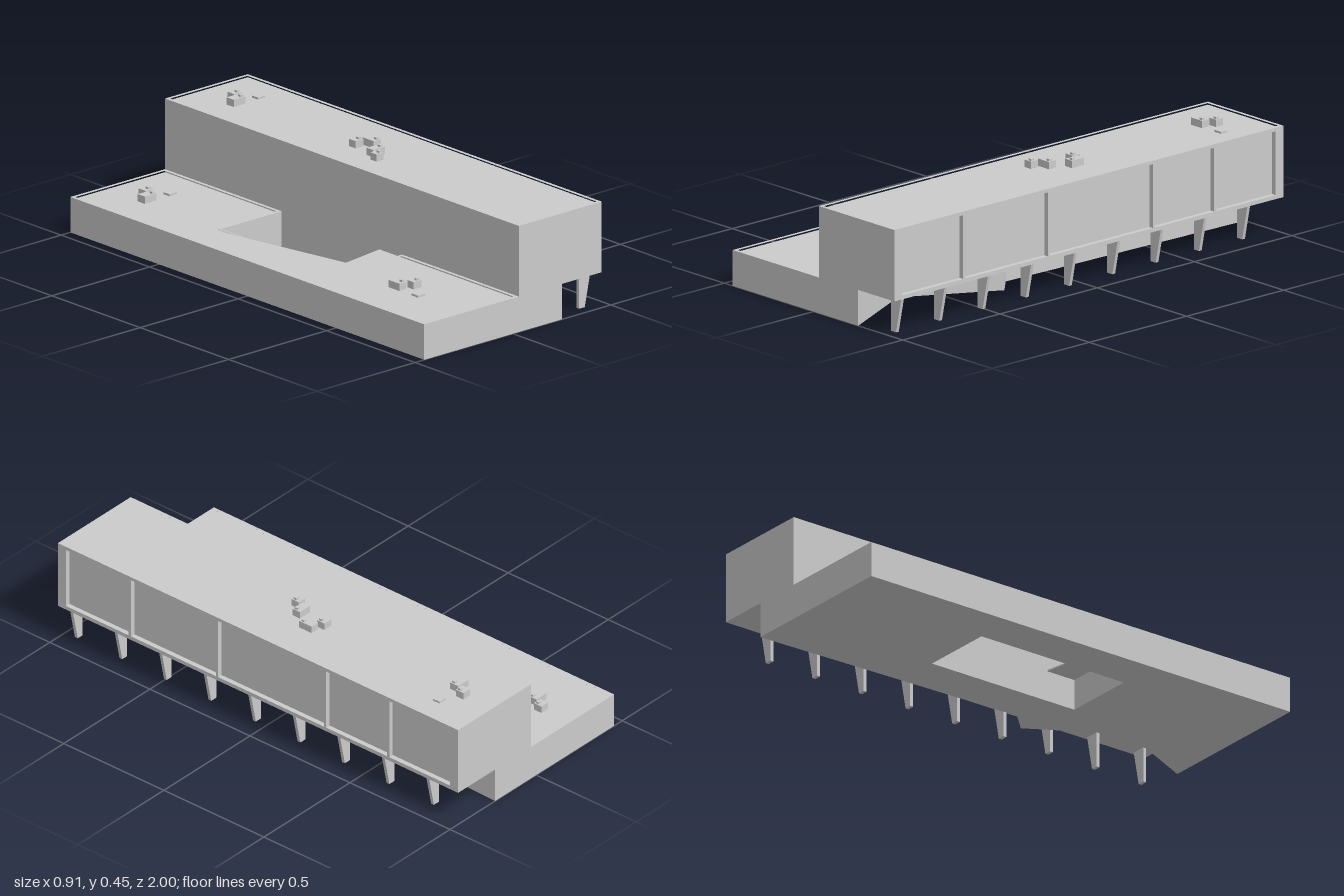
import * as THREE from 'three';

const material = new THREE.MeshStandardMaterial({ color: 0xcccccc, flatShading: true });
const W = 0.453;                       // half width of the building
const SPLIT = 0.03;                    // where the upper wing starts
const LOW = 0.142, HIGH = 0.425;       // parapet heights
const RECESS = 0.012, RIM = 0.014;     // parapet depth and thickness

const toPath = (Type, pts) => new Type(pts.map(([a, b]) => new THREE.Vector2(a, b)));
const rect = (x0, z0, x1, z1) => [[x0, z0], [x1, z0], [x1, z1], [x0, z1]];

// Upright prism from a plan outline of [x, z] points
function prism(pts, y0, y1, holes = []) {
  const flip = (p) => p.map(([x, z]) => [x, -z]);
  const shape = toPath(THREE.Shape, flip(pts));
  shape.holes = holes.map((h) => toPath(THREE.Path, flip(h)));
  const geo = new THREE.ExtrudeGeometry(shape, { depth: y1 - y0, bevelEnabled: false });
  return geo.rotateX(-Math.PI / 2).translate(0, y0, 0);
}

export function createModel() {
  const model = new THREE.Group();
  const add = (name, geo, parent = model) => {
    const mesh = new THREE.Mesh(geo, material);
    mesh.name = name;
    parent.add(mesh);
    return mesh;
  };

  // Low wing, wrapped around a courtyard well
  const wellX = -0.278, wellZ = 0.34;
  const lowPlan = [
    [-W, -1], [SPLIT, -1], [SPLIT, -wellZ], [wellX, -wellZ],
    [wellX, wellZ], [SPLIT, wellZ], [SPLIT, 1], [-W, 1],
  ];
  const lowInner = [
    [-W + RIM, -1 + RIM], [SPLIT - RIM, -1 + RIM], [SPLIT - RIM, -wellZ - RIM], [wellX - 0.005, -wellZ - RIM],
    [wellX - 0.005, wellZ + RIM], [SPLIT - RIM, wellZ + RIM], [SPLIT - RIM, 1 - RIM], [-W + RIM, 1 - RIM],
  ];
  add('lowWing', prism(lowPlan, 0, LOW - RECESS));
  add('lowParapet', prism(lowPlan, LOW - RECESS, LOW, [lowInner]));

  // Thin roof pieces that leave a skewed opening over the well
  const canopy = [
    [wellX, -wellZ], [-0.168, 0.242], [SPLIT, 0.212], [SPLIT, wellZ], [wellX, wellZ],
  ];
  add('courtyardCanopy', prism(canopy, LOW - RECESS - 0.006, LOW - RECESS));

  // Folded ground floor wall beneath the overhang
  add('groundFloor', prism([
    [SPLIT, -1], [0.238, -1], [0.205, 0.2], [0.285, 0.28], [0.08, 0.64], [0.25, 1], [SPLIT, 1],
  ], 0, LOW));

  // Upper wing with parapet
  const facadeDepth = 0.02;
  const faceX = W - facadeDepth;
  add('upperWing', prism(rect(SPLIT, -1, faceX, 1), LOW, HIGH - RECESS));
  add('upperParapet', prism(rect(SPLIT, -1, W, 1), HIGH - RECESS, HIGH,
    [rect(SPLIT + RIM, -1 + RIM, W - RIM, 1 - RIM)]));

  // Facade frame with five recessed bays between thin mullions
  const frame = toPath(THREE.Shape, rect(-1, LOW, 1, HIGH - RECESS));
  const stops = [-0.966, -0.64, -0.205, 0.335, 0.65, 0.966];
  const half = 0.006;
  for (let i = 0; i < stops.length - 1; i++) {
    frame.holes.push(toPath(THREE.Path,
      rect(stops[i] + half, LOW + 0.016, stops[i + 1] - half, HIGH - RECESS - 0.002)));
  }
  add('facadeFrame', new THREE.ExtrudeGeometry(frame, { depth: facadeDepth, bevelEnabled: false })
    .rotateY(Math.PI / 2).translate(faceX, 0, 0));

  // Tapered fin columns under the overhang
  const fin = toPath(THREE.Shape, [[0.381, 0], [0.41, 0], [0.44, LOW], [0.381, LOW]]);
  const finGeo = new THREE.ExtrudeGeometry(fin, { depth: 0.014, bevelEnabled: false }).translate(0, 0, -0.007);
  const columns = new THREE.Group();
  columns.name = 'columns';
  model.add(columns);
  for (let i = 0; i < 9; i++) add('column', finGeo, columns).position.z = 0.945 - 0.2225 * i;

  // Rooftop equipment: [x, z, width, depth, flat]
  const units = new THREE.Group();
  units.name = 'rooftopUnits';
  model.add(units);
  const placeUnits = (roof, list) => list.forEach(([x, z, w, d, flat]) => {
    const h = flat ? 0.008 : 0.029;
    add('roofUnit', new THREE.BoxGeometry(w, h, d), units).position.set(x, roof + h / 2, z);
    if (flat) return;
    // Small vent on top
    add('roofVent', new THREE.BoxGeometry(0.014, 0.008, 0.014), units)
      .position.set(x + w / 2 - 0.012, roof + h + 0.004, z + d / 2 - 0.013);
  });
  placeUnits(HIGH - RECESS, [
    [0.245, -0.845, 0.038, 0.038], [0.21, -0.797, 0.06, 0.04], [0.325, -0.797, 0.038, 0.034, true],
    [0.22, -0.13, 0.04, 0.038], [0.269, -0.095, 0.038, 0.062],
    [0.21, -0.008, 0.06, 0.036], [0.173, 0.04, 0.036, 0.036],
  ]);
  placeUnits(LOW - RECESS, [
    [-0.208, -0.845, 0.038, 0.038], [-0.244, -0.797, 0.06, 0.04], [-0.127, -0.797, 0.038, 0.034, true],
    [-0.22, 0.592, 0.038, 0.06], [-0.167, 0.628, 0.04, 0.036], [-0.22, 0.71, 0.038, 0.036, true],
  ]);

  return model;
}
